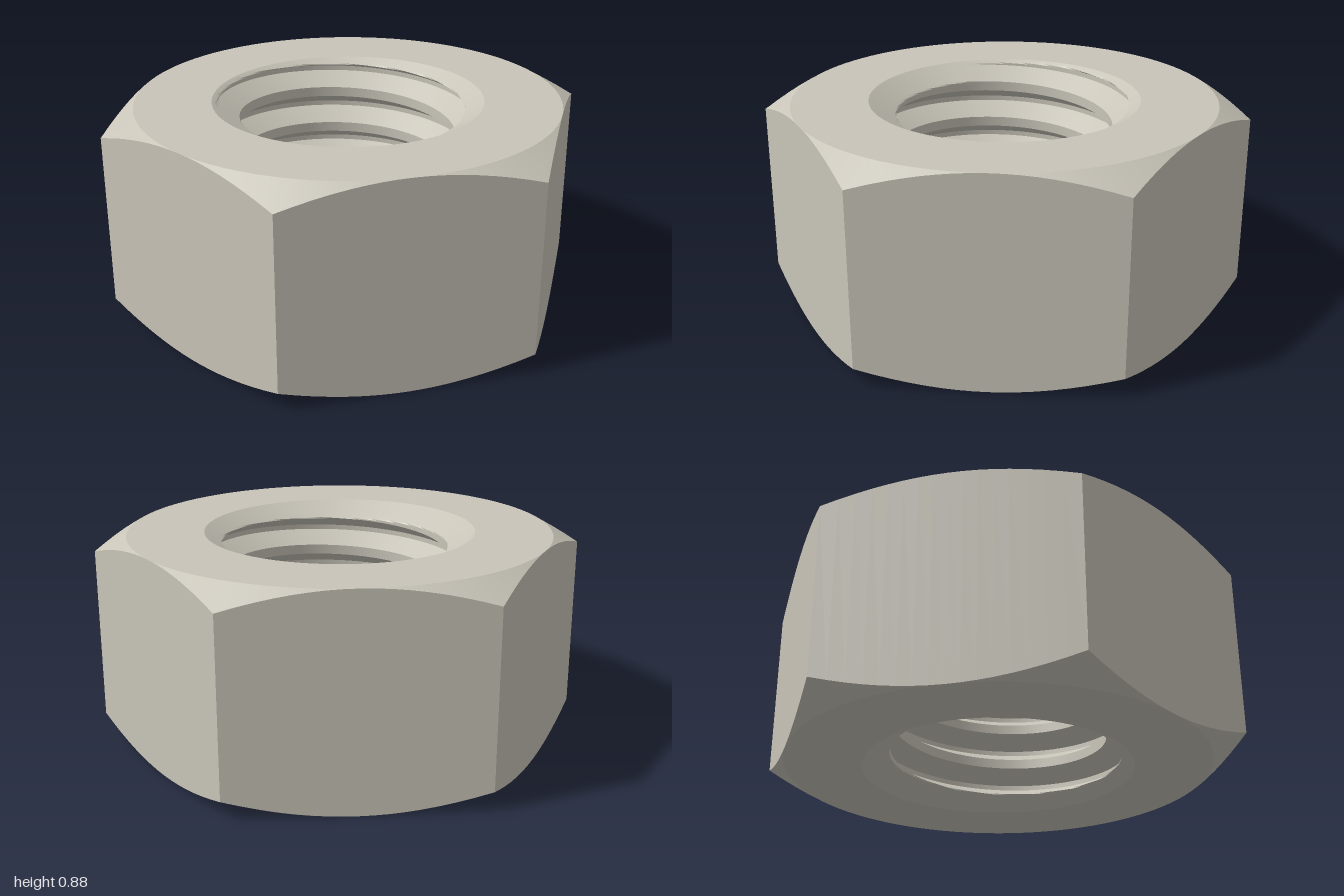
import * as THREE from 'three';
import { toCreasedNormals } from 'three/addons/utils/BufferGeometryUtils.js';

const H = 0.885;              // height
const APOTHEM = 0.885;        // centre to flat
const SLOPE = Math.tan(Math.PI / 6);
const MINOR = 0.4535, MAJOR = 0.545, SINK = 0.566;
const PITCH = 0.17, ROWS = 32; // rows per thread turn
const COLS = 96;
const START = THREE.MathUtils.degToRad(12); // angle of the first hexagon corner
const ROOT_Y = 0.821 + PITCH * 0.75;        // thread root height at angle zero

// Sweeps a list of points [radius, y] around the axis; section(angle) may vary with the angle
function sweep(section) {
  const loops = [];
  for (let i = 0; i <= COLS; i++) {
    const a = START + (i / COLS) * Math.PI * 2;
    loops.push(section(a, i).map(([r, y]) => new THREE.Vector3(r * Math.cos(a), y, r * Math.sin(a))));
  }
  const pos = [];
  const tri = (a, b, c) => {
    const area = b.clone().sub(a).cross(c.clone().sub(a)).length();
    if (area > 1e-9) for (const p of [a, b, c]) pos.push(p.x, p.y, p.z);
  };
  for (let i = 0; i < COLS; i++) {
    const p = loops[i], q = loops[i + 1];
    for (let j = 0; j < p.length - 1; j++) {
      tri(p[j], q[j], p[j + 1]);
      tri(q[j], q[j + 1], p[j + 1]);
    }
  }
  const g = new THREE.BufferGeometry();
  g.setAttribute('position', new THREE.Float32BufferAttribute(pos, 3));
  return toCreasedNormals(g, THREE.MathUtils.degToRad(20));
}

// Hexagon with flat faces, its corners cut by a 30 degree cone above and below
function hexSection(a, i) {
  const perSide = COLS / 6;
  const off = ((i % perSide) / perSide - 0.5) * Math.PI / 3;
  const r = APOTHEM / Math.cos(off);
  const drop = (r - APOTHEM) * SLOPE;
  return [[SINK, H], [APOTHEM, H], [r, H - drop], [r, drop], [APOTHEM, 0], [SINK, 0]];
}

// Right-hand thread with flat crests and roots, opened by a countersink at each end
function boreSection(a) {
  const rootY = ROOT_Y - PITCH * a / (Math.PI * 2);
  const first = Math.floor(-rootY / PITCH * ROWS) - 1;
  const count = Math.ceil(H / PITCH * ROWS) + 3;
  const points = [];
  for (let k = 0; k <= count; k++) {
    const t = (first + k) / ROWS;
    const y = THREE.MathUtils.clamp(rootY + t * PITCH, 0, H);
    const turn = (y - rootY) / PITCH;
    const d = Math.abs(turn - Math.round(turn));
    const thread = THREE.MathUtils.mapLinear(THREE.MathUtils.clamp(d, 1 / 16, 6 / 16), 1 / 16, 6 / 16, MAJOR, MINOR);
    const cone = SINK - Math.min(y, H - y) / SLOPE;
    points.push([Math.max(thread, cone), y]);
  }
  return points;
}

export function createModel() {
  const steel = new THREE.MeshStandardMaterial({ color: 0xc8c4b8 });
  steel.name = 'steel';
  const group = new THREE.Group();
  group.name = 'hexNut';

  const body = new THREE.Mesh(sweep(hexSection), steel);
  body.name = 'hexBody';
  const bore = new THREE.Mesh(sweep(boreSection), steel);
  bore.name = 'threadedBore';
  group.add(body, bore);
  return group;
}
